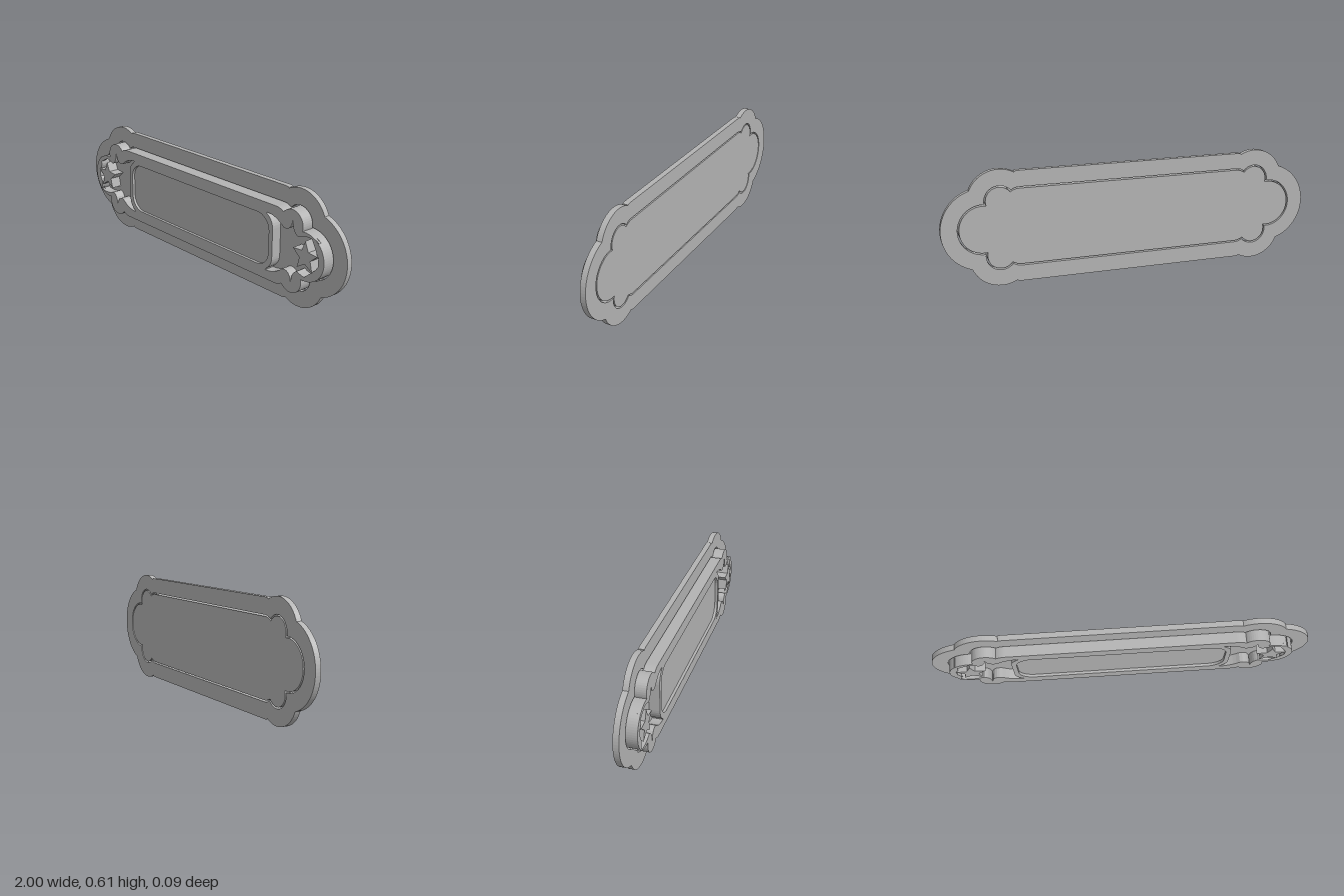
import * as THREE from 'three';

const CY = 0.305; // height of the long centre line
const V = (x, y) => new THREE.Vector2(x, y);

// Points on an arc, from angle a to angle b
function arc(cx, cy, r, a, b, n) {
  return Array.from({ length: n + 1 }, (_, i) => {
    const t = a + (b - a) * i / n;
    return V(cx + r * Math.cos(t), cy + r * Math.sin(t));
  });
}

// Lobed plaque outline, shrunk inward by d; one quarter is mirrored twice
function outline(d) {
  const ex = 0.785, R = 0.215 - d, lx = 0.70, ly = 0.1425, r = 0.1625 - d, h = 0.292 - d;
  const D = Math.hypot(ex - lx, ly);
  const a = (R * R - r * r + D * D) / (2 * D), s = Math.sqrt(R * R - a * a);
  const jx = ex + ((lx - ex) * a + ly * s) / D;
  const jy = (ly * a + (ex - lx) * s) / D;
  const dipY = h - 0.008 - 0.08 * d;
  const dipX = lx - Math.sqrt(r * r - (dipY - ly) ** 2);
  const q = [
    ...arc(ex, 0, R, 0, Math.atan2(jy, jx - ex), 16),
    ...arc(lx, ly, r, Math.atan2(jy - ly, jx - lx), Math.atan2(dipY - ly, dipX - lx), 18).slice(1),
    ...new THREE.QuadraticBezierCurve(V(dipX, dipY), V(0.622, h), V(0.595, h)).getPoints(5).slice(1),
  ];
  const m = (sx, sy) => q.map(p => V(p.x * sx, p.y * sy));
  return [...q, ...m(-1, 1).reverse().slice(0, -1), ...m(-1, -1), ...m(1, -1).reverse().slice(0, -1)]
    .filter((p, i, l) => i === 0 || p.distanceTo(l[i - 1]) > 1e-5);
}

// Rounded rectangle outline around the centre
function roundRect(hw, hh, r) {
  const corners = [[1, 1], [-1, 1], [-1, -1], [1, -1]];
  return corners.flatMap(([sx, sy], i) =>
    arc(sx * (hw - r), sy * (hh - r), r, i * Math.PI / 2, (i + 1) * Math.PI / 2, 8));
}

// Pointed, scalloped end pocket; side is +1 or -1
function pocket(side) {
  // Each step is a control point and an end point of the upper edge
  const steps = [
    [0.595, 0.152, 0.645, 0.108],
    [0.695, 0.095, 0.705, 0.163],
    [0.705, 0.102, 0.742, 0.088],
    [0.790, 0.115, 0.870, 0.098],
    [0.840, 0.060, 0.872, 0.022],
  ];
  const path = new THREE.Path();
  path.moveTo(0.532, 0.152);
  steps.forEach(s => path.quadraticCurveTo(...s));
  const top = path.getPoints(6);
  const bottom = top.map(p => V(p.x, -p.y)).reverse();
  // Inner edge follows the centre panel's rounded end
  const inner = [
    ...arc(0.495, -0.075, 0.08, -Math.PI / 3, 0, 6),
    ...arc(0.495, 0.075, 0.08, 0, Math.PI / 3, 6),
  ];
  return [...top, ...bottom, ...inner].map(p => V(p.x * side, p.y));
}

function starPoints(cx, cy, R, r) {
  return Array.from({ length: 10 }, (_, i) => {
    const t = Math.PI / 2 + i * Math.PI / 5, k = i % 2 ? r : R;
    return V(cx + k * Math.cos(t), cy + k * Math.sin(t));
  });
}

export function createModel() {
  const model = new THREE.Group();
  const grey = new THREE.MeshStandardMaterial({ color: 0xb3b3b3 });
  grey.name = 'plain grey';

  // Flat slab between two depths, with optional holes
  function slab(name, points, z0, z1, holes = []) {
    const shape = new THREE.Shape(points);
    shape.holes = holes.map(h => new THREE.Path(h));
    const geo = new THREE.ExtrudeGeometry(shape, { depth: z1 - z0, bevelEnabled: false });
    geo.translate(0, CY, z0);
    const mesh = new THREE.Mesh(geo, grey);
    mesh.name = name;
    model.add(mesh);
  }

  const inner = outline(0.092);
  const pockets = [pocket(1), pocket(-1)];

  // Flat surround, separated from the plaque by a narrow gap
  slab('outerFrame', outline(0), -0.045, -0.015, [outline(0.084)]);

  // Plaque in layers: solid back, pocketed middle, front with the sunken panel
  slab('plaqueBack', inner, -0.045, -0.015);
  slab('plaqueMiddle', inner, -0.015, 0.025, pockets);
  slab('plaqueFront', inner, 0.025, 0.04, [...pockets, roundRect(0.55, 0.136, 0.08)]);

  // Stars standing in the end pockets
  for (const side of [1, -1]) {
    slab(side > 0 ? 'leftStar' : 'rightStar',
      starPoints(side * 0.793, 0.003, 0.081, 0.036), -0.015, 0.045);
  }
  return model;
}
